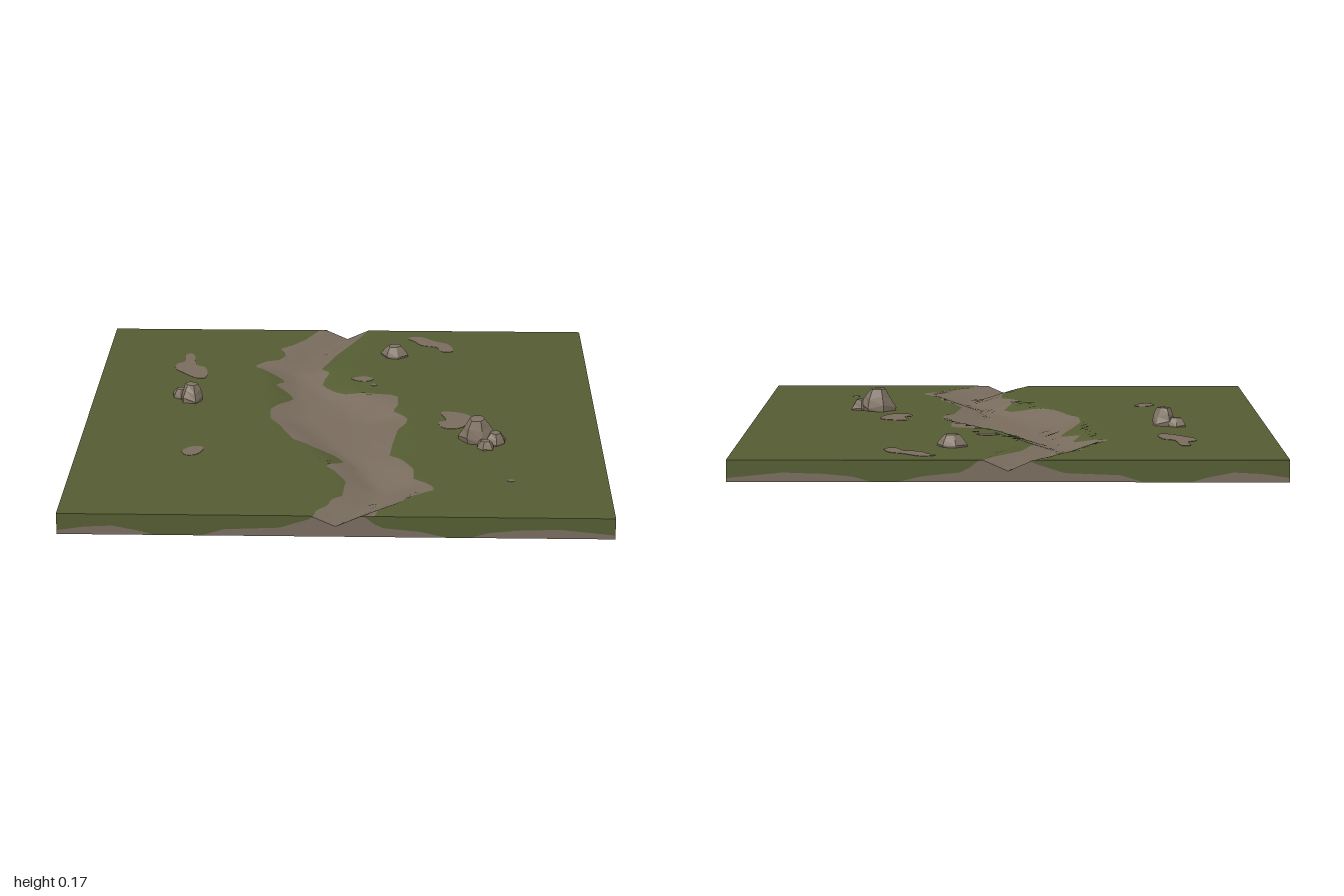
import * as THREE from 'three';

const TOP = 0.08;

// Piecewise-linear lookup in a list of [t, value] pairs
function lerpKeys(keys, t) {
  for (let i = 1; i < keys.length; i++) {
    const [t0, v0] = keys[i - 1], [t1, v1] = keys[i];
    if (t <= t1) return v0 + (v1 - v0) * Math.max(0, (t - t0) / (t1 - t0));
  }
  return keys[keys.length - 1][1];
}

// Ragged banks of the dry stream bed: [z, x]
const LEFT_BANK = [[-1, -.12], [-.93, -.15], [-.87, -.18], [-.8, -.23], [-.76, -.28], [-.7, -.25], [-.64, -.28],
  [-.6, -.33], [-.54, -.38], [-.51, -.34], [-.47, -.28], [-.43, -.24], [-.35, -.28], [-.3, -.23], [-.25, -.2],
  [-.2, -.22], [-.13, -.26], [-.06, -.285], [.05, -.28], [.12, -.24], [.2, -.21], [.27, -.18], [.33, -.1],
  [.37, -.02], [.43, .02], [.5, -.02], [.53, -.05], [.57, -.02], [.66, .03], [.8, .02], [.85, -.02], [.9, -.03],
  [.95, -.07], [1, -.08]];
const RIGHT_BANK = [[-1, .09], [-.9, .05], [-.8, 0], [-.7, -.05], [-.6, -.08], [-.55, -.1], [-.5, -.06],
  [-.45, -.08], [-.4, -.09], [-.36, -.07], [-.3, -.03], [-.25, .03], [-.23, .18], [-.2, .22], [-.1, .22],
  [-.05, .2], [0, .24], [.05, .26], [.1, .25], [.15, .22], [.3, .2], [.4, .19], [.47, .24], [.55, .28],
  [.65, .28], [.7, .34], [.75, .36], [.79, .3], [.83, .25], [.88, .22], [.92, .17], [.95, .15], [1, .14]];

// Channel centre, half width and flatness along z
const CENTRE = [[-1, 0], [-.8, -.1], [-.55, -.2], [-.3, -.13], [0, -.02], [.3, .04], [.5, .1], [.7, .16], [.85, .12], [1, 0]];
const HALF = [[-1, .09], [-.8, .13], [-.55, .15], [-.3, .17], [0, .27], [.3, .18], [.5, .13], [.7, .15], [.85, .13], [1, .09]];
const FLAT = [[-1, 1], [-.4, 1.2], [0, 2], [.4, 1.2], [1, 1]];

function height(x, z) {
  const d = 1 - Math.abs(x - lerpKeys(CENTRE, z)) / lerpKeys(HALF, z);
  return TOP - 0.04 * Math.min(1, Math.max(0, d) * lerpKeys(FLAT, z));
}

// Cross-section x positions: grass, bed, grass, denser toward the banks
const SIDE_COLS = 12, BED_COLS = 10;
function rowXs(z) {
  const l = lerpKeys(LEFT_BANK, z), r = lerpKeys(RIGHT_BANK, z), xs = [];
  for (let j = 0; j < SIDE_COLS; j++) xs.push(l - (l + 1) * (1 - j / SIDE_COLS) ** 2);
  for (let j = 0; j < BED_COLS; j++) xs.push(l + (r - l) * j / BED_COLS);
  for (let j = 0; j <= SIDE_COLS; j++) xs.push(r + (1 - r) * (j / SIDE_COLS) ** 2);
  if (Math.abs(z) === 1) { // sharp bottom of the notch at the tile edge
    let k = SIDE_COLS;
    xs.forEach((x, j) => { if (Math.abs(x) < Math.abs(xs[k])) k = j; });
    xs[k] = 0;
  }
  return xs;
}

function indexed(positions, indices) {
  const g = new THREE.BufferGeometry();
  g.setAttribute('position', new THREE.Float32BufferAttribute(positions, 3));
  g.setIndex(indices);
  g.computeVertexNormals();
  return g;
}

// Terrain surface lofted along z; group 0 is grass, group 1 is bed
function terrainGeometry() {
  const rows = 90, cols = 2 * SIDE_COLS + BED_COLS, n = cols + 1;
  const pos = [], grass = [], bed = [];
  for (let i = 0; i <= rows; i++) {
    const z = -1 + 2 * i / rows;
    for (const x of rowXs(z)) pos.push(x, height(x, z), z);
  }
  for (let i = 0; i < rows; i++) for (let j = 0; j < cols; j++) {
    const a = i * n + j, b = a + n;
    const inBed = j >= SIDE_COLS && j < SIDE_COLS + BED_COLS;
    (inBed ? bed : grass).push(a, b, a + 1, b, b + 1, a + 1);
  }
  const g = indexed(pos, [...grass, ...bed]);
  g.addGroup(0, grass.length, 0);
  g.addGroup(grass.length, bed.length, 1);
  return g;
}

// Vertical strip between two heights along an edge
function stripGeometry(ts, low, high, place) {
  const pos = [], idx = [];
  ts.forEach((t, i) => {
    pos.push(...place(t, low(t)), ...place(t, high(t)));
    if (i) { const a = 2 * i - 2; idx.push(a, a + 2, a + 1, a + 2, a + 3, a + 1); }
  });
  return indexed(pos, idx);
}

// Earth line on the walls: [distance along the edge, height]
const END_EARTH = [[-1, .015], [-.9, .03], [-.8, .035], [-.7, .015], [-.65, 0], [-.48, 0], [-.4, .025], [-.2, .033],
  [-.1, .065], [-.07, .08], [.1, .08], [.14, .05], [.17, .035], [.3, .022], [.4, 0], [.48, 0], [.55, .02],
  [.65, .03], [.8, .035], [.9, .025], [1, .015]];
const SIDE_EARTH = [[-1, .035], [-.8, .03], [-.6, .02], [-.45, .005], [-.4, 0], [-.3, .01], [-.2, .02], [-.1, .03],
  [0, .025], [.1, .03], [.3, .04], [.45, .03], [.5, 0], [.6, 0], [.7, .02], [.8, .033], [.9, .028], [1, .02]];

// Bare patches in the grass: outlines in x, z
const PATCHES = [
  [[.26, -.9], [.31, -.92], [.38, -.86], [.43, -.83], [.45, -.74], [.41, -.73], [.38, -.79], [.32, -.81], [.29, -.86]],
  [[-.67, -.68], [-.64, -.68], [-.62, -.55], [-.58, -.52], [-.57, -.4], [-.6, -.39], [-.67, -.46], [-.7, -.5], [-.7, -.56], [-.67, -.59]],
  [[.03, -.4], [.08, -.43], [.12, -.4], [.09, -.37], [.05, -.38]],
  [[.11, -.33], [.12, -.345], [.135, -.33], [.12, -.32]],
  [[.39, -.03], [.45, -.03], [.5, 0], [.5, .07], [.46, .14], [.4, .14], [.38, .08], [.41, .06]],
  [[-.6, .4], [-.56, .35], [-.52, .36], [-.54, .43], [-.58, .44]],
  [[.625, .66], [.64, .648], [.655, .66], [.64, .672]],
];

// Faceted boulder with a flattened crown
function rockGeometry(r, h, seed) {
  const profile = [[.95, 0], [1, .25], [.78, .62], [.5, .97], [0, 1]].map(([a, b]) => new THREE.Vector2(a * r, b * h));
  const g = new THREE.LatheGeometry(profile, 6, seed);
  const p = g.attributes.position;
  for (let i = 0; i < p.count; i++) {
    const x = p.getX(i), y = p.getY(i), z = p.getZ(i), a = Math.atan2(z, x);
    const k = 1 + 0.13 * Math.sin(2 * a + seed * 3 + y * 30);
    p.setXYZ(i, x * k, y + (y > 0 && y < h * .9 ? 0.1 * h * Math.sin(3 * a + seed) : 0), z * k);
  }
  return g;
}

// x, z, radius, height
const ROCKS = [
  [[.525, .255, .066, .09], [.595, .28, .044, .042], [.555, .335, .037, .03]],
  [[-.605, -.15, .05, .07], [-.65, -.185, .037, .035]],
  [[.205, -.685, .052, .046]],
];

export function createModel() {
  const grass = new THREE.MeshStandardMaterial({ color: 0x555d33, side: THREE.DoubleSide });
  grass.name = 'grass';
  const earth = new THREE.MeshStandardMaterial({ color: 0x7a6d5f, side: THREE.DoubleSide });
  earth.name = 'earth';
  const stone = new THREE.MeshStandardMaterial({ color: 0x7f7263, flatShading: true });
  stone.name = 'stone';

  const model = new THREE.Group();
  model.name = 'terrainTile';
  const add = (parent, name, geometry, material) => {
    const m = new THREE.Mesh(geometry, material);
    m.name = name;
    parent.add(m);
    return m;
  };

  add(model, 'groundAndStreamBed', terrainGeometry(), [grass, earth]);

  // Four walls, earth below and grass above; the tile is open underneath
  for (const [name, s, isEnd] of [['front', 1, true], ['back', -1, true], ['left', 1, false], ['right', -1, false]]) {
    const keys = isEnd ? END_EARTH : SIDE_EARTH;
    const ts = [...keys.map(k => k[0]), ...(isEnd ? [...rowXs(s), -.09, .09] : [])].sort((a, b) => a - b);
    const top = t => (isEnd ? height(t, s) : TOP);
    const line = t => Math.min(top(t), lerpKeys(keys, t));
    const place = (t, y) => (isEnd ? [t, y, s] : [s, y, t]);
    add(model, name + 'WallEarth', stripGeometry(ts, () => 0, line, place), earth);
    add(model, name + 'WallGrass', stripGeometry(ts, line, top, place), grass);
  }

  // Bare patches as thin plates through the ground
  for (const outline of PATCHES) {
    const curve = new THREE.CatmullRomCurve3(outline.map(([x, z]) => new THREE.Vector3(x, -z, 0)), true);
    const shape = new THREE.Shape(curve.getPoints(outline.length * 3).slice(0, -1).map(v => new THREE.Vector2(v.x, v.y)));
    const plate = new THREE.ExtrudeGeometry(shape, { depth: 0.003, bevelEnabled: false });
    add(model, 'barePatch', plate.rotateX(-Math.PI / 2), earth).position.y = TOP - 0.0015;
  }

  // Boulder clusters
  ROCKS.forEach((cluster, c) => {
    const group = new THREE.Group();
    group.name = 'rockCluster';
    cluster.forEach(([x, z, r, h], i) => {
      add(group, 'rock', rockGeometry(r, h + 0.005, 0.4 + c + i * 0.7), stone).position.set(x, TOP - 0.005, z);
    });
    model.add(group);
  });

  return model;
}
